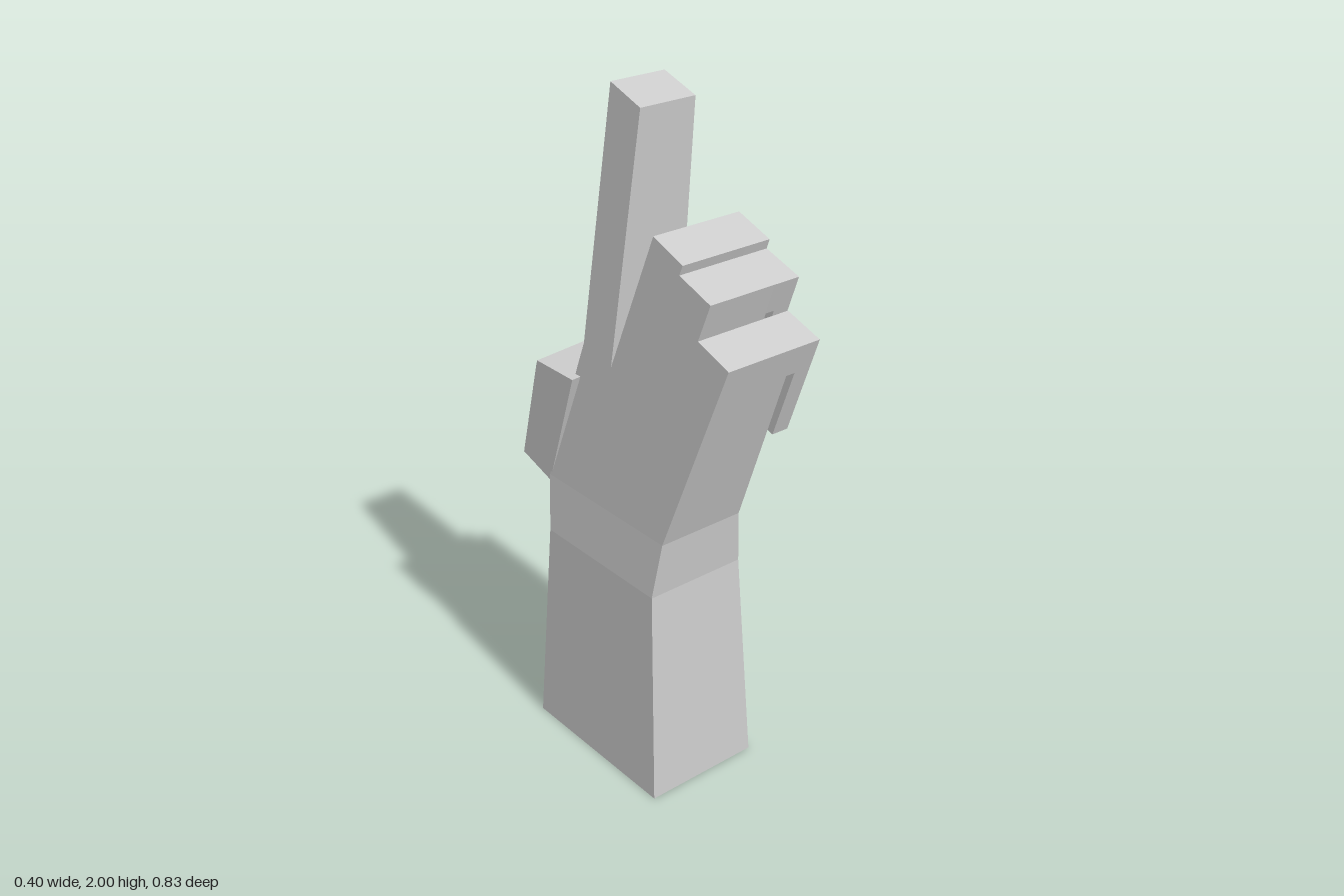
import * as THREE from 'three';

const material = new THREE.MeshStandardMaterial({ color: 0xcccccc, flatShading: true });

// Slab from a side outline of [z, y] points, spanning left(y)..right(y) in x;
// shear lifts y in proportion to x.
function slab(name, outline, left, right, shear = 0) {
  const shape = new THREE.Shape(outline.map(([z, y]) => new THREE.Vector2(-z, y)));
  const geo = new THREE.ExtrudeGeometry(shape, { depth: 1, bevelEnabled: false });
  geo.rotateY(Math.PI / 2);
  const p = geo.attributes.position;
  for (let i = 0; i < p.count; i++) {
    const y = p.getY(i);
    const x = p.getX(i) > 0.5 ? right(y) : left(y);
    p.setX(i, x);
    p.setY(i, y + shear * (x - 0.167));
  }
  geo.computeVertexNormals();
  const mesh = new THREE.Mesh(geo, material);
  mesh.name = name;
  return mesh;
}

const flat = (x) => () => x;
const slope = (y0, x0, y1, x1) => (y) => x0 + ((y - y0) / (y1 - y0)) * (x1 - x0);

export function createModel() {
  const hand = new THREE.Group();
  hand.name = 'pointingHand';

  // Forearm and wrist
  hand.add(slab('forearm', [[0.245, 0], [-0.305, 0], [-0.265, 0.66], [0.205, 0.66]],
    slope(0, -0.202, 0.66, -0.178), slope(0, 0.165, 0.66, 0.138)));
  hand.add(slab('wrist', [[0.205, 0.66], [-0.265, 0.66], [-0.285, 0.83], [0.225, 0.83]],
    slope(0.66, -0.178, 0.83, -0.158), slope(0.66, 0.138, 0.83, 0.116)));

  // Palm with the raised index finger and the stepped knuckles
  const backOfHand = slope(0.83, -0.158, 2, -0.06);
  hand.add(slab('palmAndIndexFinger', [
    [0.225, 0.83], [-0.285, 0.83], [-0.18, 1.205], [-0.157, 1.28], [-0.102, 2],
    [0.021, 1.96], [-0.035, 1.25], [0.103, 1.655], [0.222, 1.613], [0.212, 1.585],
    [0.335, 1.545], [0.3, 1.44], [0.42, 1.4],
  ], backOfHand, flat(0.116)));

  // Folded fingers: a knuckle cap, then the tip hanging in front of the palm
  const fingers = [
    { name: 'middleFinger', top: [[0.222, 1.613], [0.103, 1.655]], length: 0.412 },
    { name: 'ringFinger', top: [[0.335, 1.545], [0.212, 1.585]], length: 0.41 },
    { name: 'littleFinger', top: [[0.42, 1.4], [0.3, 1.44]], length: 0.315 },
  ];
  const down = [-0.33, -0.944];
  for (const { name, top: [a, b], length } of fingers) {
    const along = (p, d) => [p[0] + down[0] * d, p[1] + down[1] * d];
    const strip = (d) => [a, along(a, d), along(b, d), b];
    const finger = new THREE.Group();
    finger.name = name;
    finger.add(slab(name + 'Knuckle', strip(0.095), flat(0.116), flat(0.146)));
    finger.add(slab(name + 'Tip', strip(length), flat(0.146), flat(0.2)));
    hand.add(finger);
  }

  // Thumb: thick base behind the hand, thin tip bent across the palm
  const thumb = new THREE.Group();
  thumb.name = 'thumb';
  thumb.add(slab('thumbBase',
    [[-0.165, 1.2], [-0.285, 0.835], [-0.415, 0.875], [-0.335, 1.185], [-0.33, 1.2]],
    flat(-0.157), flat(0.116), 0.075));
  thumb.add(slab('thumbTip', [
    [0.005, 1.153], [-0.03, 1.02], [-0.222, 1.072], [-0.285, 0.837], [-0.415, 0.877],
    [-0.333, 1.18], [-0.315, 1.217], [-0.18, 1.207],
  ], flat(0.116), flat(0.167), 0.075));
  hand.add(thumb);

  return hand;
}
